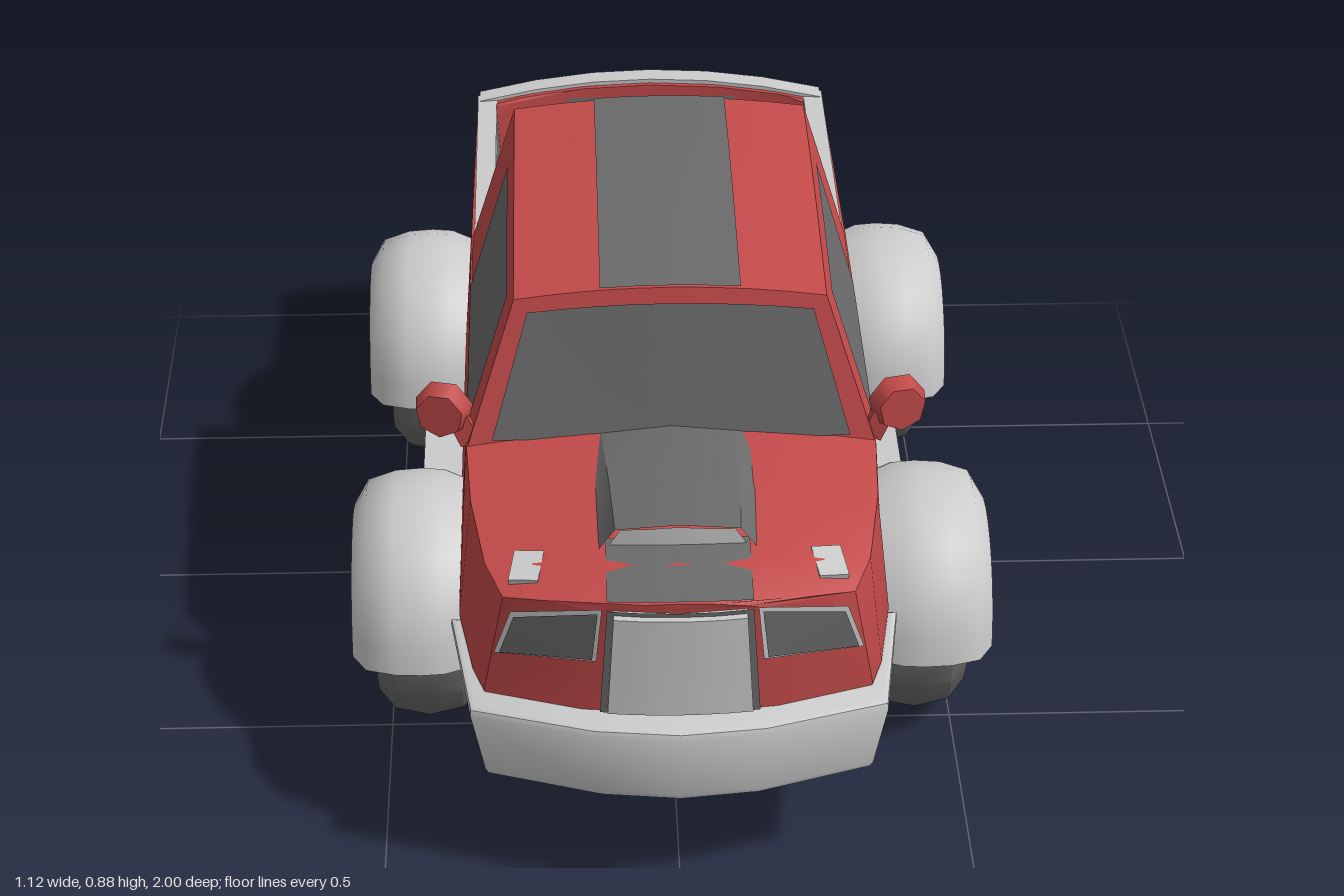
import * as THREE from 'three';
import { toCreasedNormals } from 'three/addons/utils/BufferGeometryUtils.js';

const mat = (color) => new THREE.MeshStandardMaterial({ color, side: THREE.DoubleSide });
const lerp = THREE.MathUtils.lerp;

export function createModel() {
  const truck = new THREE.Group();
  const red = mat(0xc44a4a), dark = mat(0x6a6a6a), light = mat(0xcccccc);

  const add = (name, geo, material, x = 0, y = 0, z = 0) => {
    const mesh = new THREE.Mesh(geo, material);
    mesh.name = name;
    mesh.position.set(x, y, z);
    truck.add(mesh);
    return mesh;
  };

  // Grid of points joined into quads; closed wraps the second direction
  const grid = (rows, closed = false) => {
    const n = rows[0].length, index = [];
    for (let i = 0; i < rows.length - 1; i++)
      for (let j = 0; j < (closed ? n : n - 1); j++) {
        const k = (j + 1) % n, a = i * n + j, b = i * n + k;
        index.push(a, a + n, b, b, a + n, b + n);
      }
    const geo = new THREE.BufferGeometry();
    geo.setAttribute('position', new THREE.Float32BufferAttribute(rows.flat(2), 3));
    geo.setIndex(index);
    return toCreasedNormals(geo, 0.5);
  };
  const sheet = (nu, nv, fn) => grid(Array.from({ length: nu + 1 }, (_, i) =>
    Array.from({ length: nv + 1 }, (_, j) => fn(i / nu, j / nv))));
  const quad = (a, b, c, d) => grid([[a, b], [d, c]]);

  // Box whose top is crowned and whose face is bowed across its width
  const bentBox = (w, h, d, crown, bow) => {
    const geo = new THREE.BoxGeometry(w, h, d, 6, 1, 1), p = geo.attributes.position;
    for (let i = 0; i < p.count; i++) {
      const q = (p.getX(i) / (w / 2)) ** 2;
      p.setY(i, p.getY(i) - crown * q);
      p.setZ(i, p.getZ(i) - bow * q);
    }
    return toCreasedNormals(geo, 0.5);
  };

  // Hull: z, bottom, middle and top half-widths, edge and centre heights, bow, bed flag, width scale
  const stations = [
    [0.94, 0.30, 0.325, 0.29, 0.525, 0.545, 0.7, 0, 0],
    [0.94, 0.30, 0.325, 0.29, 0.525, 0.545, 0.7, 0, 0.5],
    [0.94, 0.30, 0.325, 0.29, 0.525, 0.545, 0.7, 0, 1],
    [0.86, 0.32, 0.345, 0.32, 0.545, 0.57, 0.5, 0, 1],
    [0.64, 0.345, 0.37, 0.345, 0.56, 0.585, 0, 0, 1],
    [0.46, 0.345, 0.372, 0.355, 0.57, 0.595, 0, 0, 1],
    [-0.28, 0.345, 0.372, 0.355, 0.57, 0.595, 0, 0, 1],
    [-0.32, 0.345, 0.372, 0.355, 0.565, 0.595, 0, 0, 1],
    [-0.325, 0.345, 0.372, 0.355, 0.565, 0.38, 0, 1, 1],
    [-0.82, 0.345, 0.365, 0.35, 0.565, 0.38, 0, 1, 1],
    [-0.83, 0.30, 0.36, 0.35, 0.565, 0.38, -0.1, 1, 1],
    [-0.87, 0.30, 0.355, 0.35, 0.565, 0.38, -0.25, 1, 1],
    [-0.875, 0.30, 0.355, 0.35, 0.565, 0.595, -0.25, 0, 1],
    [-0.93, 0.31, 0.35, 0.345, 0.565, 0.595, -0.25, 0, 1],
    [-0.93, 0.31, 0.35, 0.345, 0.565, 0.595, -0.25, 0, 0.5],
    [-0.93, 0.31, 0.35, 0.345, 0.565, 0.595, -0.25, 0, 0],
  ];
  const hull = stations.map(([z, wb, wm, wt, ye, yc, bow, bed, s]) => {
    const half = [[0, 0.18], [wb, 0.18], [wm, 0.33], [wt, ye],
      ...(bed ? [[0.315, ye], [0.305, yc]] : [[wt * 0.75, lerp(ye, yc, 0.45)], [wt * 0.4, lerp(ye, yc, 0.85)]]),
      [0, yc]];
    const mirror = half.slice(1, -1).reverse().map(([x, y]) => [-x, y]);
    return [...half, ...mirror].map(([x, y]) => [x * s, y, z - bow * (x * s) ** 2]);
  });
  add('body', grid(hull, true), red);

  // Cab: u across, t from front to back, h from sill to eave
  const cab = (u, t, h, out = 0) => {
    const eave = 0.82 + 0.035 * Math.sin(Math.min(1, t * 1.3) * Math.PI / 2);
    return [
      u * (lerp(0.355, 0.268, h) + out),
      lerp(0.56, eave, h) + 0.02 * (1 - u * u) * h,
      lerp(lerp(0.48, -0.285, t), lerp(0.41, -0.25, t), h),
    ];
  };
  const shift = ([x, y, z], dy, dz) => [x, y + dy, z + dz];
  add('roof', sheet(8, 8, (a, b) => cab(a * 2 - 1, b, 1)), red);
  add('roofStripe', sheet(4, 8, (a, b) => shift(cab((a * 2 - 1) * 0.45, b, 1), 0.004, 0)), dark);
  for (const [t, name, dz] of [[0, 'windscreen', 0.005], [1, 'rearWindow', -0.005]]) {
    add(name + 'Surround', sheet(8, 2, (a, b) => cab(a * 2 - 1, t, b)), red);
    add(name, sheet(8, 2, (a, b) => shift(cab((a * 2 - 1) * 0.89, t, lerp(0.08, 0.91, b)), 0, dz)), dark);
  }
  for (const s of [1, -1]) {
    add('cabSide', sheet(8, 2, (a, b) => cab(s, a, b)), red);
    add('sideWindow', sheet(6, 2, (a, b) => cab(s, lerp(0.07, 0.72, a), lerp(0.07, 0.92, b), 0.005)), dark);
  }

  // Bed lining, open at the top
  const tub = (y, x, z0, z1) => [[-x, y, z0], [x, y, z0], [x, y, z1], [-x, y, z1]];
  const top = tub(0.572, 0.312, -0.328, -0.867), floor = tub(0.384, 0.302, -0.332, -0.835);
  add('bedFloor', quad(...floor), dark);
  for (let i = 0; i < 4; i++) {
    const k = (i + 1) % 4;
    add('bedWall', quad(top[i], top[k], floor[k], floor[i]), dark);
  }
  // Bed rim
  add('bedRimFront', bentBox(0.70, 0.035, 0.04, 0.03, 0), light, 0, 0.587, -0.31);
  add('bedRimRear', bentBox(0.69, 0.03, 0.045, 0.03, -0.03), light, 0, 0.588, -0.908);
  for (const s of [1, -1]) add('bedRimSide', new THREE.BoxGeometry(0.038, 0.018, 0.57), light, s * 0.33, 0.563, -0.6);
  add('tailgateStripe', sheet(4, 1, (a, b) => {
    const x = (a * 2 - 1) * 0.12;
    return [x, lerp(0.32, 0.575, b), -0.936 + 0.25 * x * x];
  }), dark);

  // Hood stripe and raised scoop
  add('hoodStripe', sheet(4, 2, (a, b) => {
    const x = (a * 2 - 1) * 0.12, z = lerp(0.945, 0.8, b);
    return [x, lerp(0.552, 0.582, b) - 0.3 * x * x, z - 0.7 * x * x];
  }), dark);
  const scoopRing = (z, w, y0, y1) => [[w, y0], [w * 0.8, y1 - 0.012], [0, y1], [-w * 0.8, y1 - 0.012], [-w, y0]]
    .map(([x, y]) => [x, y, z - 0.7 * x * x]);
  add('hoodScoop', grid([scoopRing(0.82, 0.13, 0.57, 0.62), scoopRing(0.64, 0.14, 0.577, 0.612),
    scoopRing(0.46, 0.155, 0.575, 0.602)]), dark);
  add('scoopOpening', sheet(4, 1, (a, b) => {
    const x = (a * 2 - 1) * lerp(0.12, 0.095, b);
    return [x, lerp(0.575, 0.613, b) - 0.08 * Math.abs(x), 0.815 - 0.7 * x * x];
  }), light);

  // Grille
  const grille = (name, w0, w1, y0, y1, z, m) => add(name, sheet(4, 1, (a, b) => {
    const x = (a * 2 - 1) * lerp(w0, w1, b);
    return [x, lerp(y0, y1, b), z - 0.7 * x * x];
  }), m);
  grille('grilleFrame', 0.133, 0.12, 0.333, 0.534, 0.952, dark);
  const block = bentBox(0.23, 0.185, 0.03, 0, 0.008);
  const gp = block.attributes.position;
  for (let i = 0; i < gp.count; i++) gp.setX(i, gp.getX(i) * (1 - gp.getY(i) * 0.5));
  add('grille', block, light, 0, 0.434, 0.95);

  for (const s of [1, -1]) {
    // Headlights, pane over frame
    const lamp = (name, pts, lift, m) => add(name, quad(...pts.map(([x, y]) =>
      [s * x, y, 0.94 + lift - 0.7 * x * x])), m);
    lamp('headlightFrame', [[0.128, 0.535], [0.278, 0.506], [0.307, 0.418], [0.138, 0.432]], 0.010, light);
    lamp('headlight', [[0.135, 0.529], [0.273, 0.5], [0.298, 0.424], [0.145, 0.438]], 0.015, dark);
    const marker = add('indicator', new THREE.BoxGeometry(0.05, 0.022, 0.07), light, s * 0.25, 0.544, 0.83);
    marker.rotation.set(0.2, s * 0.15, -s * 0.1);

    // Door mirrors
    const shell = add('mirror', new THREE.CylinderGeometry(0.042, 0.052, 0.035, 7).rotateX(Math.PI / 2), red, s * 0.395, 0.627, 0.455);
    shell.rotation.y = s * 0.25;
    const face = add('mirrorGlass', new THREE.CircleGeometry(0.036, 7), light, s * 0.391, 0.627, 0.436);
    face.rotation.y = s * 0.25;
    const arm = add('mirrorArm', new THREE.BoxGeometry(0.035, 0.05, 0.02), red, s * 0.357, 0.59, 0.455);
    arm.rotation.z = -s * 0.4;

    add('runningBoard', new THREE.BoxGeometry(0.11, 0.018, 0.375), light, s * 0.395, 0.209, -0.062);
  }

  // Bumpers: plan outline extruded downwards, narrower at the foot
  const bumper = (name, half) => {
    const pts = [...half, ...half.filter(([x]) => x).reverse().map(([x, z]) => [-x, z])];
    const shape = new THREE.Shape(pts.map(([x, z]) => new THREE.Vector2(x, z)));
    const geo = new THREE.ExtrudeGeometry(shape, {
      depth: 0.108, bevelThickness: 0.014, bevelSize: 0.012, bevelSegments: 2 });
    geo.rotateX(Math.PI / 2).translate(0, 0.313, 0);
    const p = geo.attributes.position;
    for (let i = 0; i < p.count; i++) p.setX(i, p.getX(i) * (1 - 0.6 * (0.327 - p.getY(i))));
    add(name, toCreasedNormals(geo, 0.6), light);
  };
  bumper('frontBumper', [[0, 0.988], [0.14, 0.972], [0.34, 0.908], [0.375, 0.652]]);
  bumper('rearBumper', [[0, -0.988], [0.18, -0.983], [0.325, -0.965], [0.338, -0.915]]);

  // Wheels and fenders, profiles as radius and distance along the axle
  const spin = (pts, segs, start, length) => new THREE.LatheGeometry(
    pts.map(([r, a]) => new THREE.Vector2(r, a)), segs, start, length).rotateZ(-Math.PI / 2);
  const tyre = toCreasedNormals(spin([[0, 0.34], [0.165, 0.34], [0.2, 0.37], [0.213, 0.43], [0.2, 0.49],
    [0.165, 0.52], [0.122, 0.52], [0.112, 0.5]], 16, 0, Math.PI * 2), 0.7);
  const hub = toCreasedNormals(spin([[0.114, 0.5], [0.082, 0.495], [0.078, 0.512], [0, 0.515]], 16, 0, Math.PI * 2), 0.5);
  const arch = [[0.155, 0.35], [0.213, 0.35], [0.234, 0.40], [0.237, 0.44], [0.234, 0.485], [0.218, 0.535],
    [0.175, 0.56], [0.155, 0.553]];
  const fender = toCreasedNormals(spin([...arch, arch[0]], 14, Math.PI, Math.PI), 0.8);
  const end = new THREE.ShapeGeometry(new THREE.Shape(arch.map(([r, a]) => new THREE.Vector2(a, r))));
  for (const z of [0.408, -0.492])
    for (const turn of [0, Math.PI]) {
      const parts = [
        add('tyre', tyre, dark, 0, 0.214, z), add('hubcap', hub, dark, 0, 0.214, z),
        add('fender', fender, light, 0, 0.207, z),
        add('fenderEnd', end.clone().rotateX(Math.PI / 2), light, 0, 0.207, z),
        add('fenderEnd', end.clone().rotateX(-Math.PI / 2), light, 0, 0.207, z),
      ];
      for (const part of parts) part.rotation.y = turn;
    }
  return truck;
}
